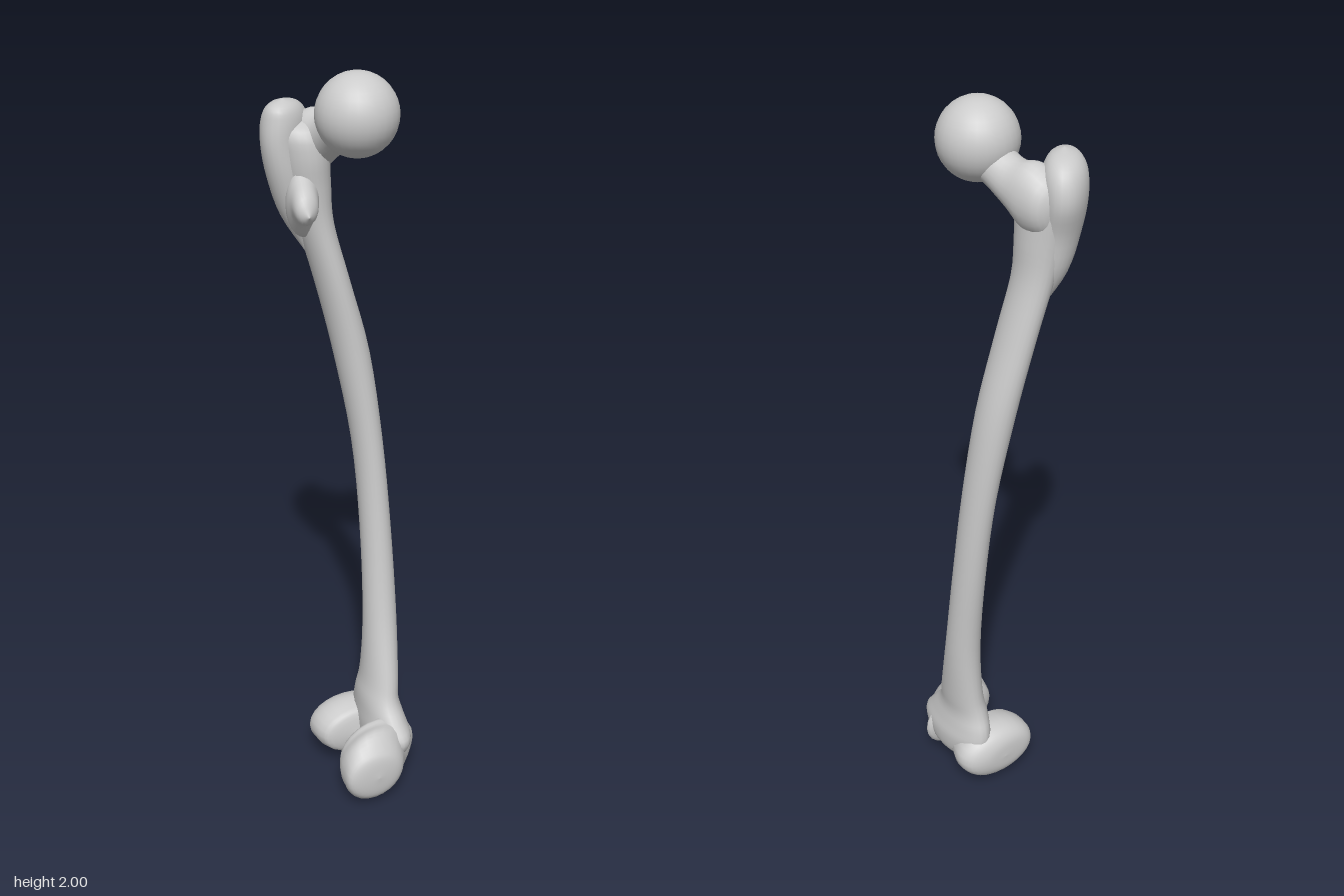
import * as THREE from 'three';

const material = new THREE.MeshStandardMaterial({ color: 0xcccccc });
const X = new THREE.Vector3(1, 0, 0);
const Y = new THREE.Vector3(0, 1, 0);
const Z = new THREE.Vector3(0, 0, 1);

// Smooth closed loft through elliptical sections [x, y, z, radius along u, radius along v].
// Sections advance in the direction u cross v.
function loft(name, u, v, sections, sides = 24, steps = 4) {
  const centres = new THREE.CatmullRomCurve3(
    sections.map(([x, y, z]) => new THREE.Vector3(x, y, z)), false, 'catmullrom');
  const radii = new THREE.CatmullRomCurve3(
    sections.map((s) => new THREE.Vector3(s[3], s[4], 0)), false, 'catmullrom');
  const rings = (sections.length - 1) * steps;
  const positions = [];
  const index = [];
  for (let i = 0; i <= rings; i++) {
    const c = centres.getPoint(i / rings);
    const r = radii.getPoint(i / rings);
    for (let j = 0; j < sides; j++) {
      const a = (j / sides) * Math.PI * 2;
      const p = c.clone()
        .addScaledVector(u, Math.max(r.x, 0) * Math.cos(a))
        .addScaledVector(v, Math.max(r.y, 0) * Math.sin(a));
      positions.push(p.x, p.y, p.z);
      if (i < rings) {
        const k = (j + 1) % sides;
        const row = i * sides;
        const next = row + sides;
        index.push(row + j, row + k, next + j, row + k, next + k, next + j);
      }
    }
  }
  const geometry = new THREE.BufferGeometry();
  geometry.setAttribute('position', new THREE.Float32BufferAttribute(positions, 3));
  geometry.setIndex(index);
  geometry.computeVertexNormals();
  const mesh = new THREE.Mesh(geometry, material);
  mesh.name = name;
  return mesh;
}

export function createModel() {
  const bone = new THREE.Group();
  bone.name = 'thighBone';

  // Bowed shaft, flaring at the knee and hip ends
  bone.add(loft('shaft', Z, X, [
    [0.08, 0.07, 0.05, 0, 0],
    [0.085, 0.09, 0.05, 0.09, 0.05],
    [0.088, 0.15, 0.05, 0.13, 0.06],
    [0.085, 0.2, 0.035, 0.115, 0.055],
    [0.083, 0.25, 0.025, 0.088, 0.05],
    [0.092, 0.32, 0.02, 0.073, 0.047],
    [0.103, 0.5, -0.003, 0.052, 0.045],
    [0.104, 0.75, -0.035, 0.048, 0.041],
    [0.091, 1.0, -0.062, 0.05, 0.04],
    [0.056, 1.25, -0.086, 0.056, 0.046],
    [0.008, 1.45, -0.101, 0.059, 0.043],
    [-0.032, 1.6, -0.113, 0.06, 0.045],
    [-0.05, 1.7, -0.117, 0.067, 0.057],
    [-0.06, 1.78, -0.12, 0.075, 0.063],
    [-0.065, 1.84, -0.125, 0.065, 0.058],
    [-0.065, 1.87, -0.13, 0, 0],
  ]));

  // Ball of the hip joint
  const head = new THREE.Mesh(new THREE.SphereGeometry(0.1, 28, 18), material);
  head.name = 'head';
  head.position.set(0, 1.9, 0.052);
  bone.add(head);

  // Neck between shaft and ball
  bone.add(loft('neck', X, Y, [
    [-0.05, 1.8, -0.19, 0, 0],
    [-0.045, 1.79, -0.17, 0.05, 0.06],
    [-0.035, 1.8, -0.12, 0.06, 0.085],
    [-0.02, 1.82, -0.07, 0.052, 0.062],
    [-0.008, 1.85, -0.02, 0.05, 0.055],
    [0, 1.88, 0.03, 0.05, 0.055],
    [0, 1.89, 0.06, 0, 0],
  ]));

  // Large outer knob, its long axis turned 45 degrees
  const s = Math.SQRT1_2;
  bone.add(loft('greaterTrochanter', new THREE.Vector3(s, 0, -s), new THREE.Vector3(-s, 0, -s), [
    [-0.05, 1.52, -0.125, 0, 0],
    [-0.07, 1.62, -0.135, 0.045, 0.04],
    [-0.088, 1.72, -0.14, 0.068, 0.052],
    [-0.092, 1.8, -0.15, 0.085, 0.055],
    [-0.094, 1.86, -0.147, 0.078, 0.053],
    [-0.1, 1.895, -0.138, 0.055, 0.035],
    [-0.105, 1.91, -0.13, 0, 0],
  ]));

  // Small knob below the neck
  bone.add(loft('lesserTrochanter', X, Y, [
    [-0.05, 1.64, -0.13, 0, 0],
    [-0.065, 1.66, -0.1, 0.05, 0.09],
    [-0.088, 1.675, -0.05, 0.038, 0.055],
    [-0.1, 1.665, -0.01, 0.028, 0.035],
    [-0.105, 1.655, 0.012, 0, 0],
  ]));

  // Two rounded knee condyles with a notch between them
  bone.add(loft('innerCondyle', X, Y, [
    [0.05, 0.125, 0.07, 0, 0],
    [0.045, 0.125, 0.1, 0.105, 0.082],
    [0.025, 0.112, 0.13, 0.112, 0.1],
    [0.002, 0.108, 0.165, 0.097, 0.107],
    [-0.01, 0.105, 0.2, 0.084, 0.078],
    [-0.01, 0.105, 0.215, 0.055, 0.052],
    [-0.01, 0.105, 0.221, 0, 0],
  ]));
  bone.add(loft('outerCondyle', X, Y, [
    [0.035, 0.11, -0.11, 0, 0],
    [0.025, 0.11, -0.105, 0.07, 0.045],
    [0.032, 0.11, -0.085, 0.108, 0.073],
    [0.037, 0.115, -0.05, 0.12, 0.08],
    [0.035, 0.115, -0.01, 0.112, 0.075],
    [0.035, 0.115, 0.015, 0.09, 0.06],
    [0.035, 0.11, 0.03, 0, 0],
  ]));

  return bone;
}
